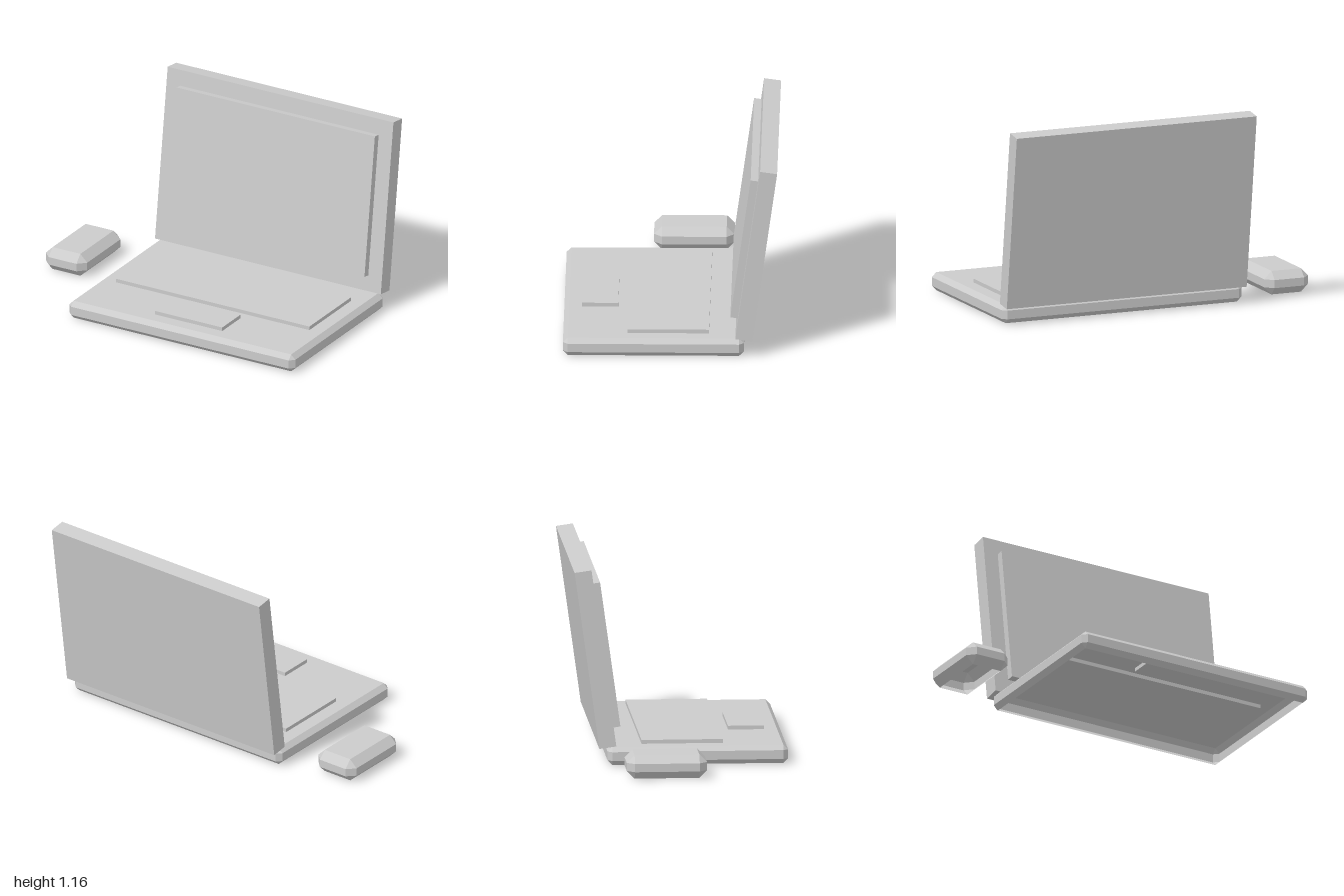
import * as THREE from 'three';

const grey = new THREE.MeshStandardMaterial({ color: 0xcccccc, flatShading: true });
const shellGrey = new THREE.MeshStandardMaterial({ color: 0xcccccc, flatShading: true, side: THREE.DoubleSide });

// Box with every edge chamfered by c, standing on y = 0 and open underneath
function chamferedShell(name, w, h, d, c) {
  const X = w / 2, Z = d / 2, x = X - c, z = Z - c;
  // eight points per ring, two for each corner, counted from above
  const wide = [[X, -z], [x, -Z], [-x, -Z], [-X, -z], [-X, z], [-x, Z], [x, Z], [X, z]];
  const inset = wide.map(([px, pz]) => [Math.sign(px) * x, Math.sign(pz) * z]);
  const rings = [[inset, 0], [wide, c], [wide, h - c], [inset, h]];
  const positions = rings.flatMap(([ring, y]) => ring.flatMap(([px, pz]) => [px, y, pz]));

  const index = [];
  for (let r = 0; r < 3; r++) {
    for (let i = 0; i < 8; i++) {
      const a = r * 8 + i, b = r * 8 + (i + 1) % 8;
      // inset corner pairs coincide, so a corner needs only one triangle there
      const corner = i % 2 === 0;
      if (!(corner && r === 0)) index.push(a, b, a + 8);
      if (!(corner && r === 2)) index.push(b, b + 8, a + 8);
      if (corner && r === 0) index[index.length - 3] = a;
    }
  }
  index.push(24, 26, 28, 24, 28, 30); // top

  const geometry = new THREE.BufferGeometry();
  geometry.setAttribute('position', new THREE.Float32BufferAttribute(positions, 3));
  geometry.setIndex(index);
  geometry.computeVertexNormals();
  const mesh = new THREE.Mesh(geometry, shellGrey);
  mesh.name = name;
  return mesh;
}

function slab(name, w, h, d, x, y, z) {
  const mesh = new THREE.Mesh(new THREE.BoxGeometry(w, h, d), grey);
  mesh.name = name;
  mesh.position.set(x, y, z);
  return mesh;
}

export function createModel() {
  const model = new THREE.Group();
  model.name = 'laptopAndMouse';

  // Lower body
  const base = chamferedShell('base', 1.53, 0.108, 1.055, 0.028);
  base.position.set(0.235, 0, 0.0975);

  // Panels set into the deck
  const keyboard = slab('keyboard', 1.31, 0.045, 0.475, 0.235, 0.108, 0.012);
  const trackpad = slab('trackpad', 0.455, 0.045, 0.21, 0.232, 0.108, 0.415);

  // Lid leaning back, with the raised screen panel
  const display = new THREE.Group();
  display.name = 'display';
  display.position.set(0.235, 0.63, -0.5025);
  display.rotation.x = -0.138;
  display.add(
    slab('lid', 1.53, 1.055, 0.1, 0, 0, 0),
    slab('screen', 1.345, 0.863, 0.08, 0, 0, 0.054)
  );

  // Separate mouse beside the body
  const mouse = chamferedShell('mouse', 0.28, 0.14, 0.47, 0.046);
  mouse.position.set(-0.86, 0, -0.115);

  model.add(base, keyboard, trackpad, display, mouse);
  return model;
}
